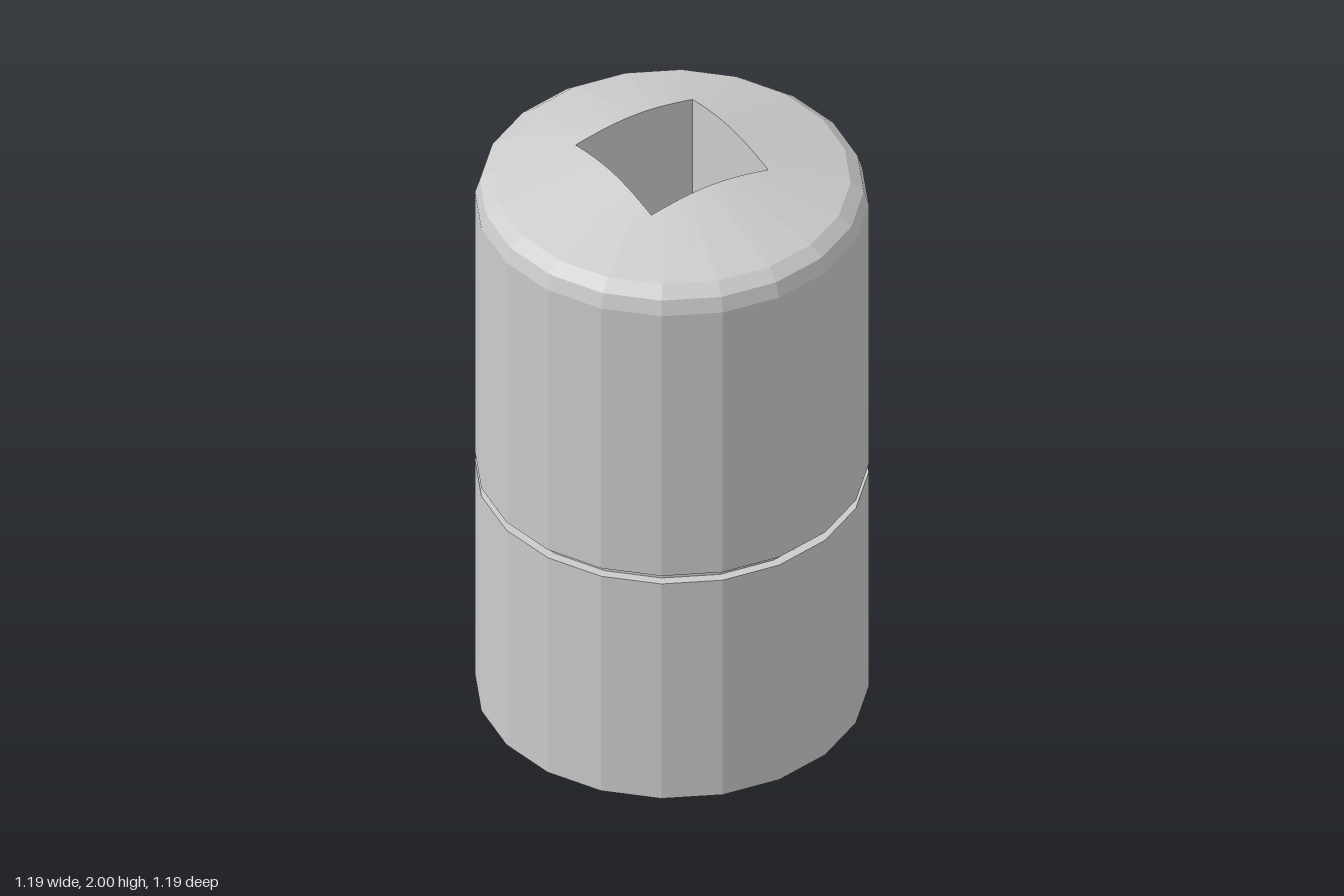
import * as THREE from 'three';

const SIDES = 20, R = 0.595, STEP = (2 * Math.PI) / SIDES;
const HALF = 0.21;                                   // half width of the square bore
const POCKET = { x: 0.5, y: 1.245, w: 0.31, h: 0.225, r: 0.1 };

const at = (r, y, a) => [r * Math.cos(a), y, r * Math.sin(a)];

// point on a regular 20-gon of radius r at angle a
function onPolygon(r, y, a) {
  const m = ((a % STEP) + STEP) % STEP;
  return at((r * Math.cos(STEP / 2)) / Math.cos(m - STEP / 2), y, a);
}

// facets between successive rows of points
function loft(rows) {
  const p = [];
  for (let i = 0; i + 1 < rows.length; i++) {
    for (let j = 0; j + 1 < rows[i].length; j++) {
      const a = rows[i][j], b = rows[i][j + 1], c = rows[i + 1][j + 1], d = rows[i + 1][j];
      p.push(...a, ...d, ...c, ...a, ...c, ...b);
    }
  }
  const g = new THREE.BufferGeometry();
  g.setAttribute('position', new THREE.Float32BufferAttribute(p, 3));
  g.computeVertexNormals();
  return g;
}

const turn = (n) => Array.from({ length: n + 1 }, (_, i) => (i / n) * 2 * Math.PI);

export function createModel() {
  const group = new THREE.Group();
  const material = new THREE.MeshStandardMaterial({ color: 0xcccccc, flatShading: true });
  const add = (name, geometry) => {
    const mesh = new THREE.Mesh(geometry, material);
    mesh.name = name;
    group.add(mesh);
  };

  // lower body and the narrow groove above it
  const profile = [[R, 0], [R, 0.81], [0.565, 0.81], [0.565, 0.84], [R, 0.84]];
  add('lowerBody', loft(profile.map(([r, y]) => turn(SIDES).map((a) => onPolygon(r, y, a)))));

  // columns of the upper wall: polygon corners plus the pocket's rounded corners
  const angles = [];
  for (let i = -SIDES / 2; i <= SIDES / 2; i++) angles.push(i * STEP);
  for (let i = 0; i <= 6; i++) {
    const z = POCKET.w - POCKET.r + POCKET.r * Math.sin((i / 6) * Math.PI / 2);
    angles.push(Math.asin(z / R), -Math.asin(z / R));
  }
  angles.sort((a, b) => a - b);
  const limit = Math.asin(POCKET.w / R) + 1e-6;
  const inPocket = (a) => Math.abs(a) <= limit;

  // pocket edge height above or below its middle
  const edgeY = (a, sign) => {
    const straight = POCKET.h - POCKET.r;
    if (!inPocket(a)) return POCKET.y + sign * straight;
    const over = Math.max(0, Math.abs(R * Math.sin(a)) - (POCKET.w - POCKET.r));
    return POCKET.y + sign * (straight + Math.sqrt(Math.max(0, POCKET.r ** 2 - over ** 2)));
  };
  const edge = (a, sign) => (inPocket(a) ? at : onPolygon)(R, edgeY(a, sign), a);

  // upper wall, open at the pocket
  add('upperWallBelowPocket', loft([angles.map((a) => onPolygon(R, 0.84, a)), angles.map((a) => edge(a, -1))]));
  add('upperWallAbovePocket', loft([angles.map((a) => edge(a, 1)), angles.map((a) => onPolygon(R, 1.82, a))]));
  const right = angles.filter((a) => a <= -limit + 1e-5);
  const left = angles.filter((a) => a >= limit - 1e-5);
  for (const part of [right, left]) {
    add('upperWallBesidePocket', loft([part.map((a) => edge(a, -1)), part.map((a) => edge(a, 1))]));
  }

  // recessed pocket: flat floor and rim
  const flat = ([, y, z]) => [POCKET.x, y, z];
  const cols = angles.filter(inPocket);
  const low = cols.map((a) => edge(a, -1)), high = cols.map((a) => edge(a, 1));
  add('pocketFloor', loft([low.map(flat), high.map(flat)]));
  const outline = [...low, ...high.reverse(), low[0]];
  add('pocketRim', loft([outline, outline.map(flat)]));

  // bevelled shoulder, conical cap and square bore
  const fine = turn(80);
  const bore = (a) => HALF / Math.max(Math.abs(Math.cos(a)), Math.abs(Math.sin(a)));
  const ring = (r, y) => fine.map((a) => onPolygon(r, y, a));
  const mouth = fine.map((a) => at(bore(a), 2 - 0.3 * (bore(a) - HALF), a));
  add('shoulder', loft([ring(R, 1.82), ring(0.58, 1.868), ring(0.54, 1.9)]));
  add('cap', loft([ring(0.54, 1.9), mouth]));
  add('squareBore', loft([mouth, fine.map((a) => at(bore(a), 0, a))]));

  // base plate with the bore and six small blind holes
  const base = new THREE.Shape(turn(SIDES).slice(0, -1).map((a) => new THREE.Vector2(R * Math.cos(a), R * Math.sin(a))));
  const square = [[-1, -1], [-1, 1], [1, 1], [1, -1]];
  base.holes.push(new THREE.Path(square.map(([x, y]) => new THREE.Vector2(x * HALF, y * HALF))));
  for (const degrees of [45, 90, 135, 225, 270, 315]) {
    const [cx, , cz] = at(0.51, 0, THREE.MathUtils.degToRad(degrees));
    const circle = (r, y) => turn(8).map((a) => [cx + r * Math.cos(a), y, cz + r * Math.sin(a)]);
    base.holes.push(new THREE.Path(circle(0.024, 0).slice(0, -1).map(([x, , z]) => new THREE.Vector2(x, z))));
    add('baseHole', loft([circle(0, 0.15), circle(0.024, 0.15), circle(0.024, 0)]));
  }
  add('base', new THREE.ShapeGeometry(base).rotateX(Math.PI / 2));

  return group;
}
